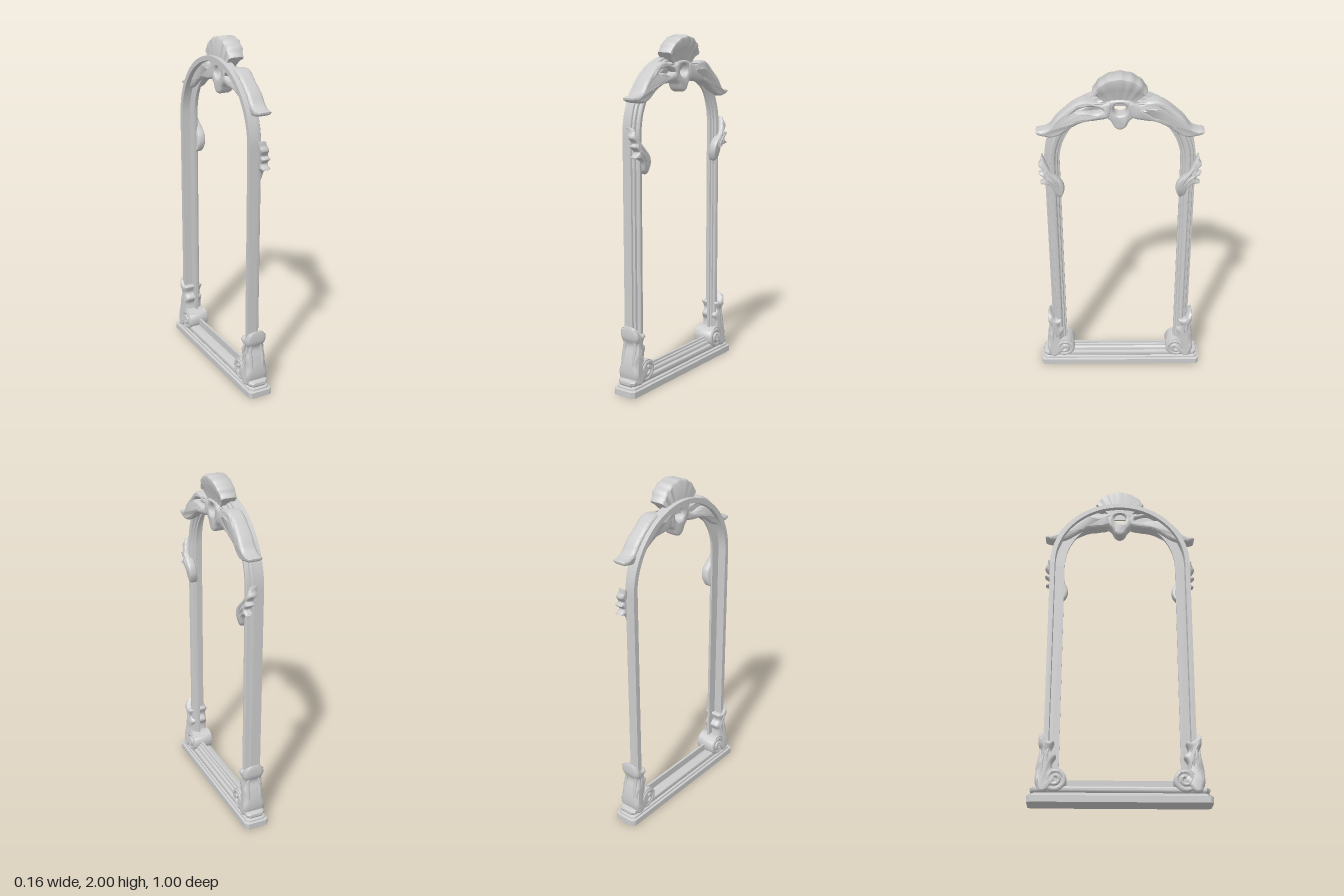
import * as THREE from 'three';
import { mergeVertices, toCreasedNormals } from 'three/addons/utils/BufferGeometryUtils.js';

const V = (x, y, z = 0) => new THREE.Vector3(x, y, z);
const material = new THREE.MeshStandardMaterial({ color: 0xcccccc, roughness: 0.8 });

function smooth(geo, crease) {
  geo.deleteAttribute('uv');
  geo.deleteAttribute('normal');
  return toCreasedNormals(mergeVertices(geo, 1e-5), crease);
}

// Skin a row of equal-length loops; wrap joins the last loop to the first, else the ends are capped
function loft(loops, wrap = false, crease = 0.6) {
  const n = loops[0].length, m = loops.length, pts = loops.flat(), idx = [];
  for (let i = 0; i < (wrap ? m : m - 1); i++) {
    for (let j = 0; j < n; j++) {
      const k = (j + 1) % n, a = i * n, b = ((i + 1) % m) * n;
      idx.push(a + j, b + j, b + k, a + j, b + k, a + k);
    }
  }
  if (!wrap) {
    for (const [row, turn] of [[0, false], [m - 1, true]]) {
      const c = pts.length;
      pts.push(loops[row].reduce((s, p) => s.add(p), V(0, 0)).divideScalar(n));
      for (let j = 0; j < n; j++) {
        const a = row * n + j, b = row * n + (j + 1) % n;
        idx.push(c, ...(turn ? [b, a] : [a, b]));
      }
    }
  }
  // Turn the faces outwards
  let volume = 0;
  for (let i = 0; i < idx.length; i += 3) {
    volume += pts[idx[i]].dot(V(0, 0).crossVectors(pts[idx[i + 1]], pts[idx[i + 2]]));
  }
  if (volume < 0) idx.reverse();
  const geo = new THREE.BufferGeometry().setFromPoints(pts);
  geo.setIndex(idx);
  return smooth(geo, crease);
}

// Tapered rib following a curve
function rib(points, radius) {
  const curve = new THREE.CatmullRomCurve3(points), steps = 20;
  const f = curve.computeFrenetFrames(steps);
  const loops = [];
  for (let i = 0; i <= steps; i++) {
    const r = radius * (0.15 + 0.85 * Math.sin(Math.PI * i / steps));
    loops.push(Array.from({ length: 8 }, (_, j) => {
      const a = j * Math.PI / 4;
      return curve.getPointAt(i / steps)
        .addScaledVector(f.normals[i], r * Math.cos(a))
        .addScaledVector(f.binormals[i], r * Math.sin(a));
    }));
  }
  return loft(loops, false, 1.2);
}

const closedCurve = (pts, s, n) =>
  new THREE.CatmullRomCurve3(pts.map(([x, y]) => V(s * x, y)), true).getPoints(n)
    .slice(0, -1).map(p => new THREE.Vector2(p.x, p.y));

// Carved slab with a rounded edge, from depth z0 to z1
function carve(outline, z0, z1, { s = 1, bevel = 0.014, holes = [], rule = null } = {}) {
  const shape = new THREE.Shape(closedCurve(outline, s, 90));
  shape.holes = holes.map(h => new THREE.Path(closedCurve(h, s, 28)));
  const geo = new THREE.ExtrudeGeometry(shape, {
    depth: z1 - z0 - 2 * bevel, bevelThickness: bevel, bevelSize: bevel * 0.6,
    bevelOffset: -bevel * 0.6, bevelSegments: 4, steps: 2,
  });
  geo.translate(0, 0, z0 + bevel);
  const p = geo.attributes.position;
  if (rule) for (let i = 0; i < p.count; i++) p.setZ(i, rule(p.getX(i), p.getY(i), p.getZ(i)));
  return smooth(geo, 0.9);
}

export function createModel() {
  const model = new THREE.Group();
  // Built facing local +z, then turned so the carved face looks along +x
  const arch = new THREE.Group();
  arch.name = 'archedFrame';
  arch.rotation.y = Math.PI / 2;
  model.add(arch);
  const add = (name, geo) => {
    const mesh = new THREE.Mesh(geo, material);
    mesh.name = name;
    arch.add(mesh);
  };

  // Stepped plinth with cut corners: [height, inset, corner cut]
  const steps = [[0, 0, 0.016], [0.036, 0, 0.016], [0.041, 0.011, 0.019], [0.05, 0.012, 0.019],
    [0.056, 0.024, 0.019], [0.062, 0.018, 0.019], [0.07, 0.015, 0.019], [0.08, 0.015, 0.019],
    [0.087, 0.018, 0.019], [0.092, 0.028, 0.019]];
  add('plinth', loft(steps.map(([y, inset, c]) => {
    const w = 0.5 - inset, d = 0.0735 - inset;
    return [[w, d - c], [w - c, d], [c - w, d], [-w, d - c], [-w, c - d], [c - w, -d], [w - c, -d], [w, c - d]]
      .map(([x, z]) => V(x, y, z - 0.0065));
  }), false, 0.5));

  // Moulding profile [outward, depth]: thin carved lip in front, deeper wall outside, rebated back
  const profile = [[0, -0.006], [0, 0.008], [0.01, 0.01], [0.013, 0.019], [0.023, 0.021],
    [0.029, 0.031], [0.038, 0.035], [0.05, 0.035], [0.056, 0.03], [0.058, 0.016], [0.072, 0.014],
    [0.075, 0.002], [0.086, 0], [0.086, -0.055], [0.058, -0.055], [0.056, -0.006]];
  const path = [[0.335, 0.137, 1, -1]];
  for (let i = 0; i <= 48; i++) {
    const a = Math.PI * i / 48, c = Math.cos(a), q = Math.sin(a);
    path.push([0.335 * c, 1.47 + 0.335 * q, c, q]);
  }
  path.push([-0.335, 0.137, -1, -1]);
  add('frameMoulding', loft(path.map(([x, y, nx, ny]) =>
    profile.map(([r, z]) => V(x + nx * r, y + ny * r, z))), true, 0.5));

  // Fan shell at the crown, leaning forward, with soft ribs
  const fan = [];
  for (let i = 0; i <= 72; i++) {
    const t = i / 36 - 1, a = t * 0.79;
    const ridge = Math.cos(t * Math.PI * 6);
    const R = 0.238 - 0.034 * t * t + 0.002 * ridge, lift = 0.0018 * ridge - 0.021 * t * t;
    fan.push([[0.08, -0.028], [0.08, 0.042], [0.12, 0.052 + lift * 0.5], [0.17, 0.068 + lift],
      [R - 0.022, 0.082 + lift], [R - 0.008, 0.08 + lift], [R, 0.064 + lift], [R, -0.018], [R - 0.01, -0.028]]
      .map(([r, z]) => V(r * Math.sin(a), 1.76 + r * Math.cos(a), z)));
  }
  add('crownShell', loft(fan, false, 0.8));

  // Pierced pendant below the shell
  const half = [[0.028, 1.695], [0.048, 1.73], [0.072, 1.758], [0.085, 1.80], [0.075, 1.845]];
  const ring = Array.from({ length: 8 }, (_, i) =>
    [0.036 * Math.cos(i * Math.PI / 4), 1.805 + 0.036 * Math.sin(i * Math.PI / 4)]);
  add('crownPendant', carve(
    [[0, 1.682], ...half, [0, 1.862], ...half.map(([x, y]) => [-x, y]).reverse()],
    -0.028, 0.056, { holes: [ring], bevel: 0.02 }));

  for (const s of [1, -1]) {
    const side = s > 0 ? 'right' : 'left';
    const veins = (name, list, r) => list.forEach(pts =>
      add(name, rib(pts.map(([x, y, z]) => V(s * x, y, z)), r)));

    // Swag leaf following the top of the arch
    add(side + 'Swag', carve([[0.05, 1.848], [0.10, 1.835], [0.145, 1.85], [0.20, 1.855], [0.25, 1.832],
      [0.295, 1.795], [0.345, 1.748], [0.385, 1.696], [0.42, 1.68], [0.456, 1.672], [0.452, 1.656],
      [0.42, 1.644], [0.365, 1.64], [0.31, 1.66], [0.25, 1.702], [0.19, 1.732], [0.13, 1.738], [0.06, 1.76]],
    -0.028, 0.06, { s, bevel: 0.022,
      holes: [[[0.09, 1.797], [0.14, 1.819], [0.2, 1.815], [0.235, 1.797], [0.18, 1.793], [0.13, 1.782]]],
      rule: (x, y, z) => z > 0 ? z * (1 + 0.05 * Math.sin(Math.abs(x) * 40)) : z }));
    veins('swagVein', [
      [[0.07, 1.84, 0.046], [0.15, 1.836, 0.05], [0.22, 1.825, 0.05], [0.3, 1.755, 0.05], [0.37, 1.68, 0.048]],
      [[0.08, 1.775, 0.046], [0.15, 1.755, 0.05], [0.22, 1.745, 0.05], [0.29, 1.705, 0.05], [0.38, 1.66, 0.046]],
    ], 0.012);

    // Leaf spray on the upright
    add(side + 'SideLeaf', carve([[0.434, 1.512], [0.408, 1.462], [0.383, 1.415], [0.35, 1.385],
      [0.322, 1.352], [0.313, 1.30], [0.338, 1.25], [0.364, 1.27], [0.378, 1.315], [0.40, 1.34],
      [0.446, 1.352], [0.418, 1.378], [0.453, 1.412], [0.428, 1.425], [0.452, 1.46], [0.44, 1.485]],
    0, 0.048, { s, rule: (x, y, z) => z + 0.014 - 1.3 * (y - 1.36) ** 2 }));
    veins('sideLeafVein', [
      [[0.432, 1.49, 0.034], [0.405, 1.43, 0.05], [0.36, 1.37, 0.058], [0.335, 1.28, 0.048]],
      [[0.435, 1.405, 0.052], [0.39, 1.375, 0.058], [0.35, 1.32, 0.056]],
    ], 0.008);

    // Acanthus leaf wrapping the foot: broad base, narrow waist, flared tip
    add(side + 'FootLeaf', carve([[0.40, 0.058], [0.44, 0.06], [0.458, 0.105], [0.459, 0.165], [0.446, 0.23],
      [0.432, 0.285], [0.447, 0.33], [0.441, 0.396], [0.418, 0.368], [0.402, 0.348], [0.363, 0.345],
      [0.376, 0.295], [0.35, 0.265], [0.37, 0.225], [0.366, 0.19], [0.35, 0.12]],
    -0.07, 0.07, { s, bevel: 0.03, rule: (x, y, z) => {
      const flare = 0.8 + 8 * (y - 0.25) ** 2 - 14 * Math.max(0, y - 0.365);
      return z * flare * (1 + 0.06 * Math.sin(y * 62)) - 0.008;
    } }));
    for (const f of [1, -1]) {
      veins('footLeafVein', [
        [[0.43, 0.36, f * 0.05 - 0.008], [0.418, 0.29, f * 0.05 - 0.008], [0.425, 0.2, f * 0.053 - 0.008], [0.42, 0.09, f * 0.062 - 0.008]],
        [[0.385, 0.33, f * 0.05 - 0.008], [0.398, 0.27, f * 0.05 - 0.008], [0.403, 0.18, f * 0.053 - 0.008]],
      ], 0.01);
    }
    // Leaf lobes on the outer edge
    veins('footLeafLobe', [1, -1].map(f =>
      [[0.437, 0.37, f * 0.018 - 0.008], [0.432, 0.28, f * 0.035 - 0.008], [0.449, 0.17, f * 0.036 - 0.008], [0.442, 0.08, f * 0.04 - 0.008]]), 0.011);

    // Rolled volute at the foot: core and broad spiral band
    const core = new THREE.CylinderGeometry(0.06, 0.06, 0.122, 32);
    core.rotateX(Math.PI / 2).translate(s * 0.352, 0.13, -0.008);
    add(side + 'VoluteCore', toCreasedNormals(core, 0.6));
    const band = [];
    for (let i = 0; i <= 70; i++) {
      const t = i / 70, a = -0.7 - t * Math.PI * 3.4, r = 0.06 - 0.047 * t;
      const w = 0.0145 - 0.003 * t, d = 0.065 + 0.007 * t;
      band.push([[w, d - 0.01], [w * 0.6, d - 0.003], [0, d], [-w * 0.6, d - 0.003], [-w, d - 0.01],
        [-w, 0.01 - d], [-w * 0.6, 0.003 - d], [0, -d], [w * 0.6, 0.003 - d], [w, 0.01 - d]]
        .map(([o, z]) => V(s * (0.352 + (r + o) * Math.cos(a)), 0.13 + (r + o) * Math.sin(a), z - 0.008)));
    }
    add(side + 'VoluteBand', loft(band, false, 0.9));
  }
  return model;
}
